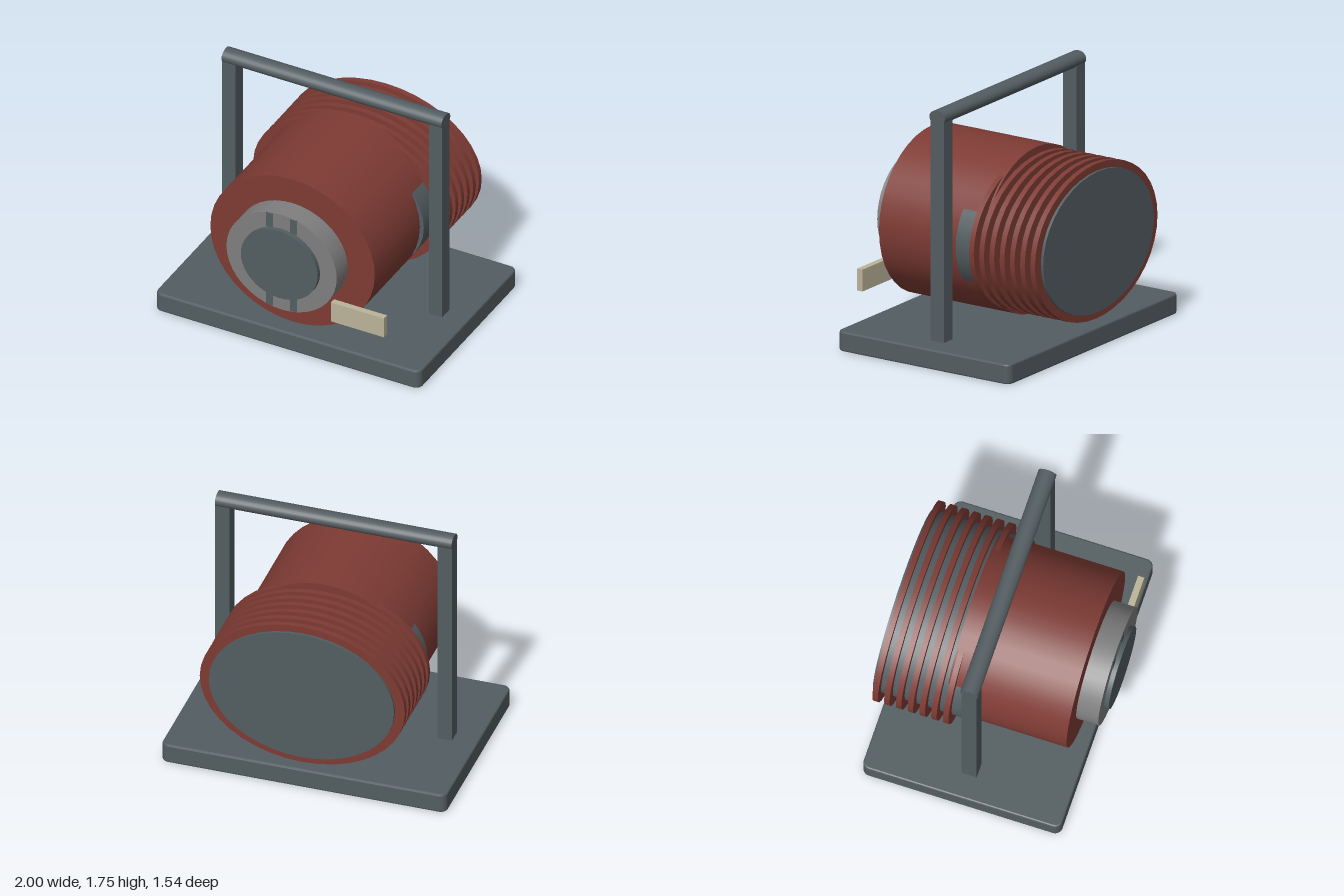
import * as THREE from 'three';

const AXIS_Y = 0.755; // height of the barrel's axis

export function createModel() {
  const model = new THREE.Group();
  model.name = 'drumOnStand';

  const material = (name, color) => {
    const m = new THREE.MeshStandardMaterial({ color });
    m.name = name;
    return m;
  };
  const slate = material('slate', 0x535d61);
  const red = material('brickRed', 0x7e3b34);
  const grey = material('midGrey', 0x7f7f7f);
  const cream = material('cream', 0xbbb399);

  const add = (name, geometry, mat, x = 0, y = 0, z = 0) => {
    const mesh = new THREE.Mesh(geometry, mat);
    mesh.name = name;
    mesh.position.set(x, y, z);
    model.add(mesh);
    return mesh;
  };
  const box = (name, mat, w, h, d, x, y, z) =>
    add(name, new THREE.BoxGeometry(w, h, d), mat, x, y, z);

  // Elliptical drum lying along z, from zBack to zFront
  const drum = (name, mat, rx, ry, zBack, zFront) => {
    const g = new THREE.CylinderGeometry(1, 1, zFront - zBack, 40);
    g.rotateX(Math.PI / 2);
    g.scale(rx, ry, 1);
    return add(name, g, mat, 0, AXIS_Y, (zBack + zFront) / 2);
  };

  // Base slab with rounded corners and softened edges
  const bevel = 0.012, w = 1 - bevel, d = 0.697 - bevel, r = 0.04;
  const outline = new THREE.Shape();
  outline.moveTo(-w + r, -d);
  outline.lineTo(w - r, -d);
  outline.absarc(w - r, -d + r, r, -Math.PI / 2, 0);
  outline.absarc(w - r, d - r, r, 0, Math.PI / 2);
  outline.absarc(-w + r, d - r, r, Math.PI / 2, Math.PI);
  outline.absarc(-w + r, -d + r, r, Math.PI, Math.PI * 1.5);
  const slab = new THREE.ExtrudeGeometry(outline, {
    depth: 0.14 - 2 * bevel, bevelEnabled: true, bevelSize: bevel,
    bevelThickness: bevel, bevelSegments: 2, curveSegments: 6,
  });
  slab.rotateX(-Math.PI / 2);
  add('base', slab, slate, 0, bevel, -0.036);

  // Handle frame: two posts and an oval crossbar
  for (const [side, name] of [[1, 'leftPost'], [-1, 'rightPost']]) {
    box(name, slate, 0.1, 1.58, 0.108, side * 0.78, 0.91, -0.034);
  }
  const bar = new THREE.CylinderGeometry(1, 1, 1.66, 24);
  bar.rotateZ(Math.PI / 2);
  bar.scale(1, 0.05, 0.063);
  add('crossbar', bar, slate, 0, 1.7, -0.034);

  // Main barrel and the finned rear core
  drum('barrel', red, 0.62, 0.575, -0.27, 0.58);
  drum('rearCore', slate, 0.65, 0.49, -0.768, -0.06);
  for (let i = 0; i < 7; i++) {
    const z = -0.235 - i * 0.0825;
    drum('coolingFin', red, 0.72, 0.54, z - 0.019, z + 0.019);
  }

  // Front collar and centre cap
  drum('frontCollar', grey, 0.416, 0.384, 0.57, 0.735);
  drum('frontCap', slate, 0.29, 0.27, 0.72, 0.768);

  // Dark bars on the collar face, in pairs above and below the cap
  for (const sx of [-1, 1]) for (const sy of [-1, 1]) {
    box('collarStripe', slate, 0.053, 0.115, 0.006,
      sx * 0.091, AXIS_Y + sy * 0.313, 0.735);
  }

  // Small plate at the lower front
  box('frontPlate', cream, 0.4, 0.152, 0.044, 0.54, 0.426, 0.653);

  return model;
}
